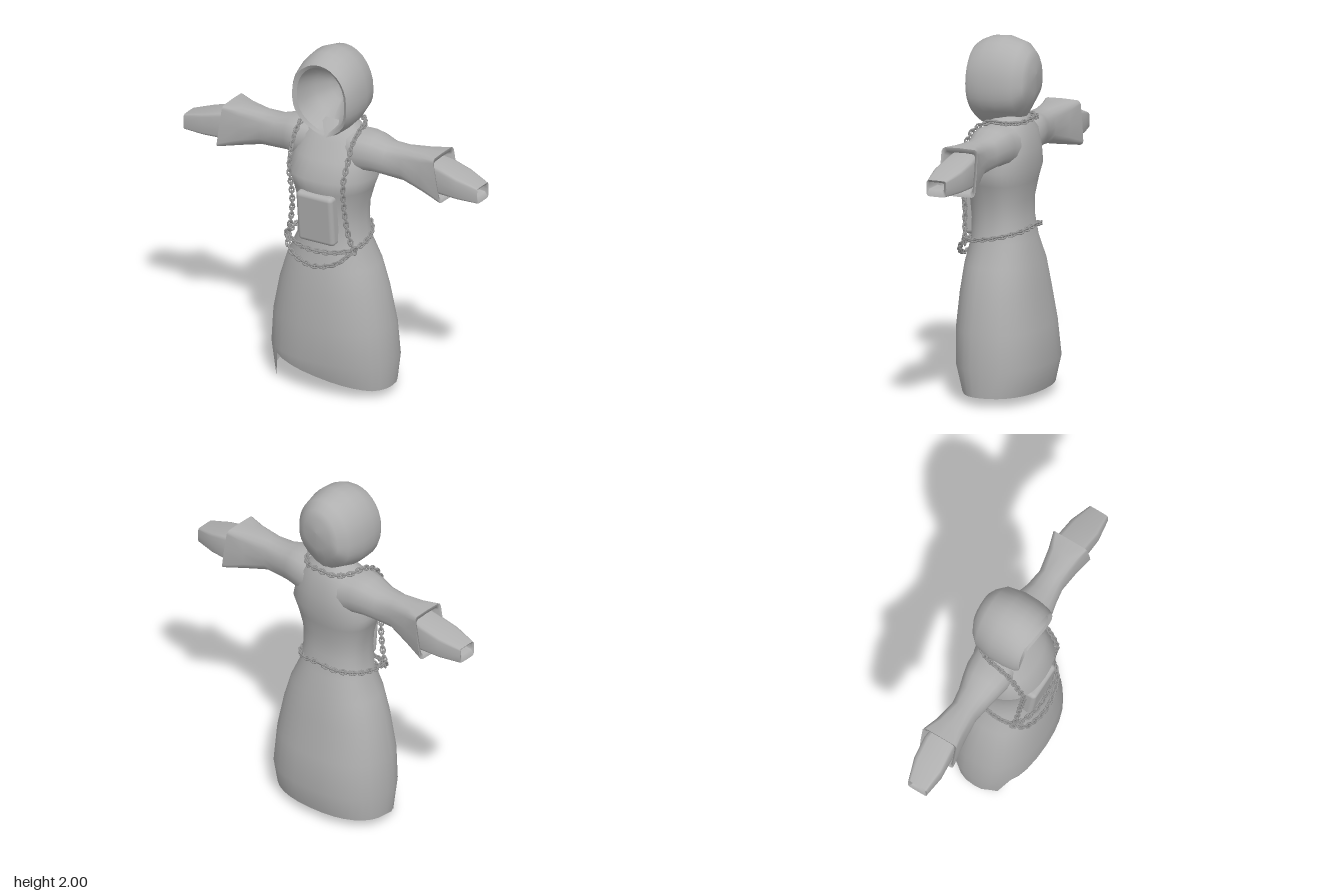
import * as THREE from 'three';
import { mergeGeometries } from 'three/addons/utils/BufferGeometryUtils.js';
import { RoundedBoxGeometry } from 'three/addons/geometries/RoundedBoxGeometry.js';

const V = (x, y, z) => new THREE.Vector3(x, y, z);

// Smooth skin over closed rings of equal point count.
function loft(rings) {
  const n = rings[0].length, index = [];
  for (let i = 0; i < rings.length - 1; i++) {
    for (let j = 0; j < n; j++) {
      const a = i * n + j, b = i * n + (j + 1) % n;
      index.push(a, b, b + n, a, b + n, a + n);
    }
  }
  const g = new THREE.BufferGeometry().setFromPoints(rings.flat());
  g.setIndex(index);
  g.computeVertexNormals();
  return g;
}

// Ring of n [cos, sin] pairs on a superellipse, e = 2 round, larger is squarer.
function ring(n, e, fn) {
  return Array.from({ length: n }, (_, j) => {
    const a = (j / n) * Math.PI * 2, c = Math.cos(a), s = Math.sin(a);
    const p = v => Math.sign(v) * Math.abs(v) ** (2 / e);
    return fn(p(c), p(s));
  });
}

const lerp = THREE.MathUtils.lerp;

// Torn hem: sloping up across the front to a hanging flap on the right.
function hemHeight(x, z) {
  if (z < 0.04) return 0.05;
  if (x < -0.32) return 0.04;
  if (x < -0.265) return 0;
  return lerp(0.165, 0.05, Math.min(1, ((x + 0.265) / 0.57) ** 0.85));
}

function robeBody() {
  // y, half width, front z, back z
  const rows = [
    [0.05, 0.358, 0.2, -0.22], [0.2, 0.37, 0.245, -0.258], [0.4, 0.355, 0.25, -0.236],
    [0.6, 0.315, 0.235, -0.205], [0.75, 0.268, 0.218, -0.185], [0.88, 0.208, 0.19, -0.15],
    [1.0, 0.195, 0.19, -0.127], [1.1, 0.2, 0.2, -0.127], [1.2, 0.228, 0.215, -0.145],
    [1.28, 0.258, 0.24, -0.165], [1.38, 0.23, 0.18, -0.165], [1.48, 0.2, 0.13, -0.15],
    [1.54, 0.14, 0.08, -0.12], [1.58, 0.1, 0.04, -0.1],
  ];
  return loft(rows.map(([y, w, f, b], i) => ring(32, 2.3, (c, s) => {
    const x = w * s, z = c > 0 ? c * f : -c * b;
    if (i > 0) return V(x, y, z);
    const h = hemHeight(x, z);
    return V(x, h, z * (1 + Math.max(0, h - 0.05) * 1.8));
  })));
}

// Tube along x from [x, bottom, top, back z, front z, squareness, end slant].
function armTube(rows) {
  return loft(rows.map(([x, y0, y1, z0, z1, e = 2.4, slant = 0]) => ring(16, e, (c, s) =>
    V(x - slant * c, (y0 + y1) / 2 + c * (y1 - y0) / 2, (z0 + z1) / 2 + s * (z1 - z0) / 2))));
}

// Teardrop hood section in the xy plane.
function hoodRing([z, w, top, bottom, mid = 1.75]) {
  return ring(28, 2, (c, s) => {
    if (s >= 0) return V(w * c, mid + s * (top - mid), z);
    const t = (2 / Math.PI) * Math.asin(Math.min(1, -s));
    return V(Math.sign(c) * w * (1 - t ** 3), mid - t * (mid - bottom), z - (z > 0.05 ? 0.06 * t * t : 0));
  });
}

// Interlocking links along a curve.
function chain(points, closed) {
  const curve = new THREE.CatmullRomCurve3(points.map(p => V(...p)), closed);
  const count = Math.round(curve.getLength() / 0.027), links = [];
  for (let i = 0; i < count; i++) {
    const u = i / (closed ? count : count - 1);
    const g = new THREE.TorusGeometry(0.0125, 0.005, 5, 8).scale(1.6, 1, 1);
    g.rotateX(i % 2 ? Math.PI / 4 : -Math.PI / 4);
    const q = new THREE.Quaternion().setFromUnitVectors(V(1, 0, 0), curve.getTangentAt(u));
    g.applyQuaternion(q);
    g.translate(...curve.getPointAt(u).toArray());
    links.push(g);
  }
  return mergeGeometries(links);
}

export function createModel() {
  const model = new THREE.Group();
  const cloth = new THREE.MeshStandardMaterial({ name: 'grey cloth', color: 0xb0b0b0, side: THREE.DoubleSide });
  const metal = new THREE.MeshStandardMaterial({ name: 'grey chain', color: 0x999999 });
  const add = (name, geometry, material = cloth, parent = model) => {
    const mesh = new THREE.Mesh(geometry, material);
    mesh.name = name;
    parent.add(mesh);
    return mesh;
  };

  add('robe', robeBody());

  // Front pouch, leaning out at the top
  const pouch = add('pouch', new RoundedBoxGeometry(0.23, 0.3, 0.12, 3, 0.025));
  pouch.position.set(0, 1.05, 0.168);
  pouch.rotation.x = 0.1;

  // Hood shell and the hollow behind its opening
  add('hood', loft([
    [-0.172, 0.001, 1.801, 1.799, 1.8], [-0.165, 0.09, 1.89, 1.69, 1.8], [-0.145, 0.135, 1.93, 1.63],
    [-0.1, 0.178, 1.972, 1.54], [0, 0.198, 2.0, 1.5], [0.09, 0.196, 1.992, 1.49],
    [0.15, 0.186, 1.965, 1.485], [0.176, 0.172, 1.945, 1.49],
  ].map(hoodRing)));
  add('hoodRim', loft([[0.176, 0.172, 1.945, 1.49], [0.162, 0.15, 1.925, 1.505]].map(hoodRing)));
  add('hoodHollow', loft([
    [0.162, 0.15, 1.925, 1.505], [0.1, 0.14, 1.91, 1.53], [0.02, 0.115, 1.87, 1.58],
    [-0.05, 0.06, 1.81, 1.65], [-0.065, 0.001, 1.751, 1.749],
  ].map(hoodRing)));

  // Arms, mirrored
  for (const side of [1, -1]) {
    const arm = new THREE.Group();
    arm.name = side > 0 ? 'leftArm' : 'rightArm';
    arm.scale.x = side;
    add('sleeve', armTube([
      [0.1, 1.3, 1.53, -0.14, 0.12], [0.2, 1.315, 1.537, -0.135, 0.125], [0.27, 1.322, 1.528, -0.12, 0.11],
      [0.35, 1.315, 1.505, -0.098, 0.09], [0.45, 1.308, 1.505, -0.082, 0.072, 2.6],
      [0.58, 1.277, 1.51, -0.105, 0.078, 4], [0.69, 1.25, 1.512, -0.13, 0.09, 9, 0.02],
    ]), cloth, arm);
    add('cuffLining', armTube([
      [0.69, 1.25, 1.512, -0.13, 0.09, 9, 0.02], [0.685, 1.272, 1.488, -0.112, 0.075, 9, 0.02],
      [0.6, 1.3, 1.47, -0.09, 0.06, 5],
    ]), cloth, arm);
    add('hand', armTube([
      [0.6, 1.295, 1.475, -0.095, 0.065, 5], [0.69, 1.29, 1.458, -0.11, 0.07, 5],
      [0.81, 1.291, 1.425, -0.1, 0.078, 5], [0.935, 1.293, 1.385, -0.06, 0.058, 7],
    ]), cloth, arm);
    add('handEnd', armTube([
      [0.935, 1.293, 1.385, -0.06, 0.058, 7], [0.925, 1.33, 1.372, -0.042, 0.048, 7],
      [0.8, 1.325, 1.385, -0.06, 0.055, 5],
    ]), cloth, arm);
    model.add(arm);
  }

  // Chains: round the neck and down the chest, round the waist, and a drooping swag
  const half = [
    [0.1, 1.545, -0.125], [0.155, 1.545, -0.05], [0.175, 1.55, 0.03], [0.18, 1.5, 0.12],
    [0.18, 1.4, 0.175], [0.172, 1.3, 0.205], [0.165, 1.2, 0.195], [0.168, 1.08, 0.18],
    [0.185, 0.97, 0.172], [0.212, 0.88, 0.16],
  ];
  const mirror = pts => pts.map(([x, y, z]) => [-x, y, z]);
  add('neckChain', chain([...mirror(half).reverse(), [0, 1.555, -0.15], ...half]), metal);

  const belt = [[0.12, 0.945, -0.14], [0.2, 0.92, -0.05], [0.222, 0.9, 0.06], [0.2, 0.885, 0.16], [0.11, 0.865, 0.205]];
  add('waistChain', chain([[0, 0.957, -0.155], ...belt, [0, 0.86, 0.222], ...mirror(belt).reverse()], true), metal);

  const swag = [[0.1, 0.795, 0.232], [0.17, 0.835, 0.21], [0.212, 0.89, 0.165]];
  add('swagChain', chain([...mirror(swag).reverse(), [0, 0.778, 0.245], ...swag]), metal);

  return model;
}
